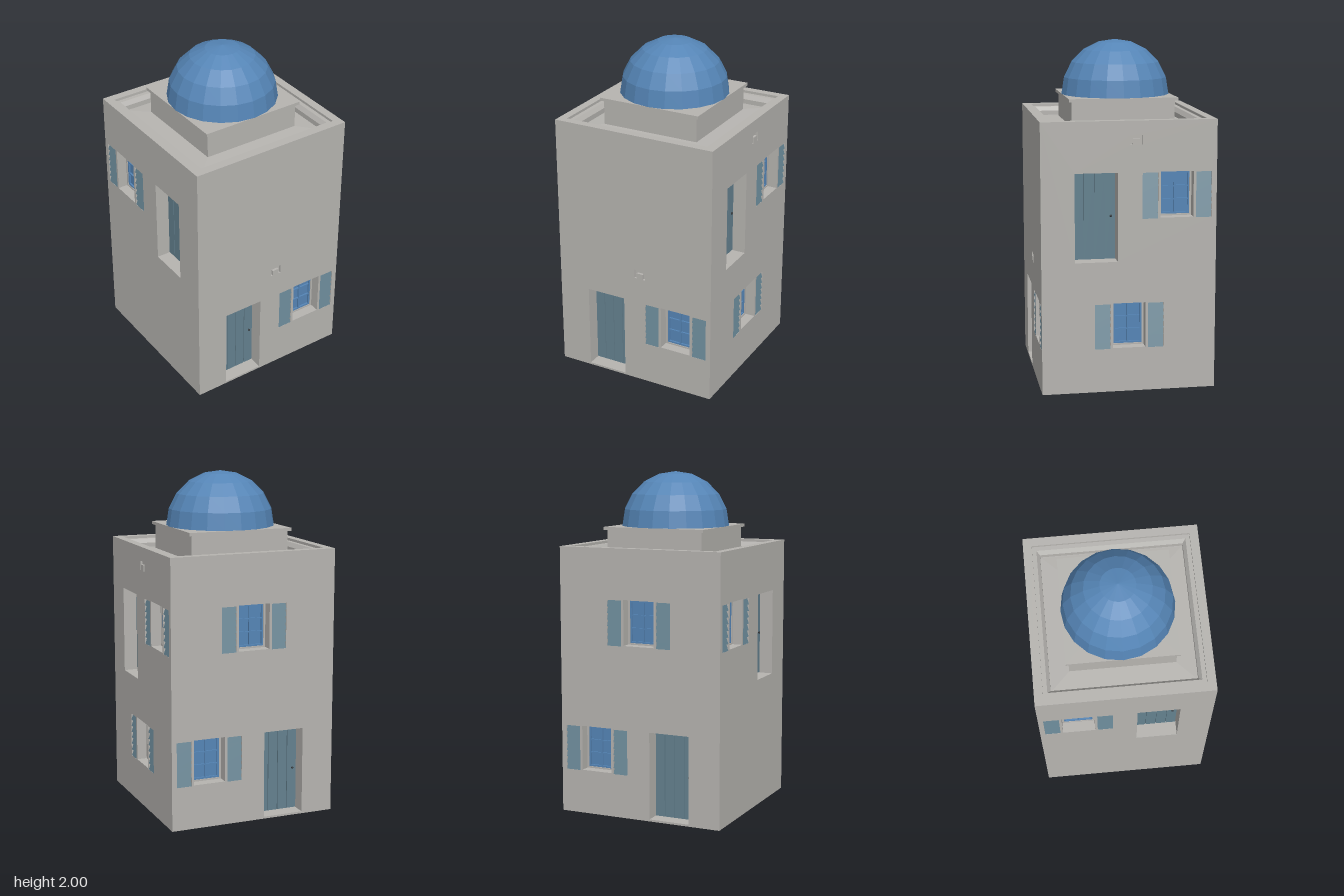
import * as THREE from 'three';

const mat = (name, color) => Object.assign(new THREE.MeshStandardMaterial({ color }), { name });

const HALF = 0.505, TOP = 1.575, SKIN = 0.015, FLOOR = 0.757;

export function createModel() {
  const plaster = mat('plaster', 0xb6b4b0);
  const blue = mat('domeBlue', 0x5585b6);
  const woodwork = mat('greyBluePaint', 0x64818f);
  const iron = mat('darkIron', 0x33383c);

  const model = new THREE.Group();
  model.name = 'domedHouse';

  const add = (parent, name, geometry, material, x = 0, y = 0, z = 0) => {
    const mesh = new THREE.Mesh(geometry, material);
    mesh.name = name;
    mesh.position.set(x, y, z);
    parent.add(mesh);
    return mesh;
  };
  const box = (parent, name, material, w, h, d, x, y, z) =>
    add(parent, name, new THREE.BoxGeometry(w, h, d), material, x, y, z);
  const flat = (geometry) => {
    const g = geometry.index ? geometry.toNonIndexed() : geometry;
    g.computeVertexNormals();
    return g;
  };

  // Outlines in wall coordinates
  const rect = (x0, y0, x1, y1) => [[x0, y0], [x1, y0], [x1, y1], [x0, y1]];
  const toPoints = (list) => list.map(([x, y]) => new THREE.Vector2(x, y));
  const panel = (outline, holes, depth) => {
    const shape = new THREE.Shape(toPoints(outline));
    holes.forEach((h) => shape.holes.push(new THREE.Path(toPoints(h))));
    return new THREE.ExtrudeGeometry(shape, { depth, bevelEnabled: false }).translate(0, 0, -depth);
  };
  const ring = (x0, y0, x1, y1, t, depth) =>
    panel(rect(x0 - t, y0 - t, x1 + t, y1 + t), [rect(x0, y0, x1, y1)], depth);

  // Square profile swept round the four sides
  const squareSweep = (profile) => flat(new THREE.LatheGeometry(
    toPoints(profile.map(([r, y]) => [r * Math.SQRT2, y])), 4).rotateY(Math.PI / 4));

  // Louvred shutter: overlapping slats with the lower edge outward
  const shutter = (parent, x, y) => {
    const slats = 7, height = 0.265, width = 0.09, back = -0.03;
    const outline = [[back, 0]];
    for (let i = 0; i < slats; i++) {
      outline.push([-0.001, (i * height) / slats], [-0.014, ((i + 1) * height) / slats - 0.0005]);
    }
    outline.push([back, height]);
    const g = new THREE.ExtrudeGeometry(new THREE.Shape(toPoints(outline)), { depth: width, bevelEnabled: false });
    add(parent, 'shutter', g.rotateY(-Math.PI / 2), woodwork, x + width / 2, y);
  };

  // Window: reveal, frame, panes and bars, with a shutter each side
  const addWindow = (wall, holes, x, storey) => {
    const y0 = 0.26 + storey * FLOOR, y1 = y0 + 0.265, cy = (y0 + y1) / 2;
    const w = new THREE.Group();
    w.name = 'window';
    wall.add(w);
    holes.push(rect(x - 0.095, y0, x + 0.095, y1));
    add(w, 'windowReveal', ring(x - 0.095, y0, x + 0.095, y1, 0.004, 0.085), plaster);
    add(w, 'windowFrame', ring(x - 0.083, y0 + 0.01, x + 0.083, y1 - 0.01, 0.013, 0.02), plaster, 0, 0, -0.06);
    box(w, 'windowPanes', blue, 0.18, 0.26, 0.008, x, cy, -0.079);
    add(w, 'windowSash', ring(x - 0.073, y0 + 0.02, x + 0.073, y1 - 0.02, 0.01, 0.013), blue, 0, 0, -0.064);
    box(w, 'uprightBar', blue, 0.01, 0.23, 0.01, x, cy, -0.07);
    for (const s of [-1, 1]) {
      box(w, 'crossBar', blue, 0.15, 0.008, 0.01, x, cy + s * 0.038, -0.07);
      const sx = x + s * 0.155, sy = y0 - 0.004;
      holes.push(rect(sx - 0.045, sy, sx + 0.045, sy + 0.265));
      shutter(w, sx, sy);
    }
  };

  // Plank door set in a deep reveal
  const addDoor = (wall, holes, x, storey) => {
    const y0 = 0.012 + storey * FLOOR, y1 = y0 + 0.513, cy = (y0 + y1) / 2, half = 0.123;
    const d = new THREE.Group();
    d.name = 'door';
    wall.add(d);
    holes.push(rect(x - half, y0, x + half, y1));
    add(d, 'doorReveal', ring(x - half, y0, x + half, y1, 0.004, 0.1), plaster);
    box(d, 'doorBack', woodwork, 0.246, 0.513, 0.01, x, cy, -0.095);
    for (let i = 0; i < 4; i++) {
      box(d, 'doorPlank', woodwork, 0.057, 0.505, 0.012, x + (i - 1.5) * 0.061, cy, -0.086);
    }
    add(d, 'doorKnob', new THREE.SphereGeometry(0.007, 8, 6), iron, x + 0.095, y0 + 0.253, -0.075);
  };

  // Small notched niche
  const addNiche = (wall, holes, x, y) => {
    const outline = [[-0.035, -0.027], [-0.02, -0.027], [-0.02, 0.006], [0.02, 0.006],
      [0.02, -0.027], [0.035, -0.027], [0.035, 0.027], [-0.035, 0.027]].map(([u, v]) => [x + u, y + v]);
    holes.push(outline);
    box(wall, 'nicheBack', plaster, 0.08, 0.064, 0.01, x, y, -0.02);
  };

  // Four walls: [name, turn, doors, windows, niches], positions as [across, storey or height]
  const walls = [
    ['frontWall', 0, [[-0.19, 0]], [[0.275, 0]], [[0.04, 0.708]]],
    ['leftWall', 1, [[-0.19, 1]], [[0.275, 1], [0, 0]], [[-0.04 + 0.08, 1.465]]],
    ['backWall', 2, [[0.19, 0]], [[-0.275, 0], [0, 1]], []],
    ['rightWall', 3, [[0.19, 1]], [[-0.275, 1]], []],
  ];
  for (const [name, turn, doors, windows, niches] of walls) {
    const wall = new THREE.Group();
    wall.name = name;
    wall.rotation.y = (turn * Math.PI) / 2;
    wall.position.set(HALF, 0, 0).applyAxisAngle(new THREE.Vector3(0, 1, 0), ((turn - 1) * Math.PI) / 2);
    const holes = [];
    doors.forEach(([x, s]) => addDoor(wall, holes, x, s));
    windows.forEach(([x, s]) => addWindow(wall, holes, x, s));
    niches.forEach(([x, y]) => addNiche(wall, holes, x, y));
    add(wall, 'wallFace', panel(rect(-HALF, 0, HALF, TOP), holes, SKIN), plaster);
    model.add(wall);
  }

  // Underside, stepped parapet with roof floor, and the dome plinth
  add(model, 'underside', squareSweep([[0, 0], [HALF, 0]]), plaster);
  add(model, 'parapetAndRoof', squareSweep([[HALF, TOP], [0.455, TOP], [0.455, 1.56], [0.43, 1.56],
    [0.412, 1.535], [0.412, 1.505], [0.405, 1.505], [0.405, 1.51], [0.3, 1.517]]), plaster);
  add(model, 'domePlinth', squareSweep([[0.3, 1.5], [0.3, 1.662], [0.317, 1.662], [0.317, 1.68], [0, 1.68]]), plaster);

  // Faceted dome
  const dome = new THREE.SphereGeometry(0.32, 20, 5, 0, Math.PI * 2, 0, Math.PI / 2);
  add(model, 'dome', flat(dome), blue, 0, 1.68, 0);
  add(model, 'domeUnderside', new THREE.CircleGeometry(0.32, 20).rotateX(Math.PI / 2), blue, 0, 1.679, 0);

  return model;
}
